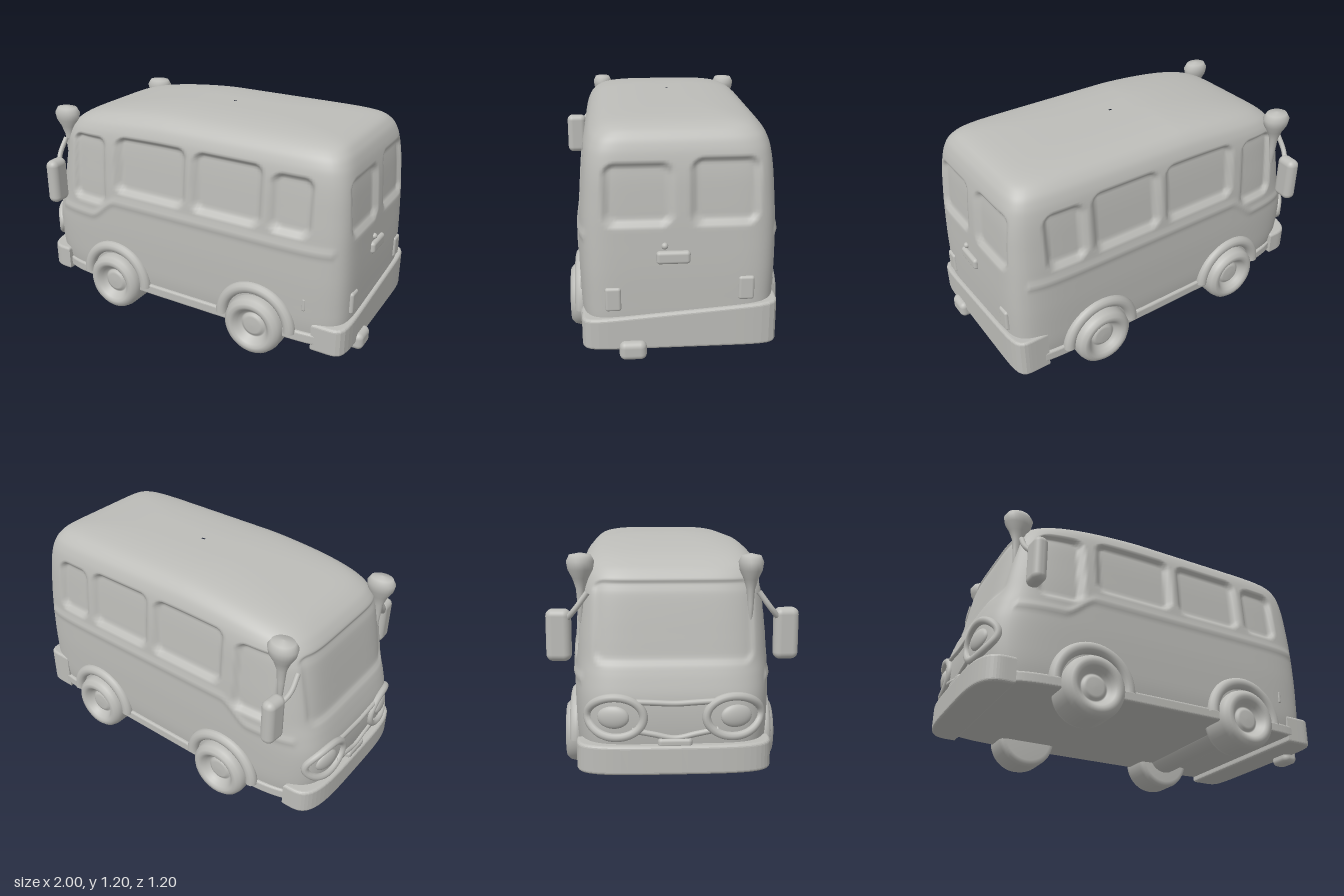
import * as THREE from 'three';
import { RoundedBoxGeometry } from 'three/addons/geometries/RoundedBoxGeometry.js';

const clay = new THREE.MeshStandardMaterial({ color: 0xbcbcb8 });
clay.name = 'warm grey';

// Shell rows from sill to roof: height, nose x, tail x, half width
const ROWS = [
  [0.15, -0.94, 0.93, 0.462], [0.25, -0.96, 0.943, 0.475], [0.36, -0.97, 0.945, 0.48],
  [0.47, -0.966, 0.945, 0.483], [0.56, -0.945, 0.943, 0.483], [0.64, -0.92, 0.94, 0.482],
  [0.74, -0.902, 0.936, 0.478], [0.84, -0.885, 0.93, 0.471], [0.94, -0.866, 0.922, 0.463],
  [1.02, -0.845, 0.91, 0.453], [1.08, -0.82, 0.895, 0.438], [1.13, -0.78, 0.87, 0.41],
  [1.17, -0.7, 0.82, 0.355], [1.19, -0.55, 0.7, 0.26], [1.199, -0.3, 0.45, 0.13],
  [1.2, 0.06, 0.08, 0.005],
];
// Window recesses: [min along, max along, min y, max y]
const SIDE = [[-0.73, -0.5, 0.63, 1.02], [-0.41, 0.03, 0.73, 1.04], [0.09, 0.48, 0.73, 1.04], [0.54, 0.75, 0.73, 1.02]];
const REAR = [[0.04, 0.35, 0.73, 1.01], [-0.36, -0.055, 0.73, 1.03]];
const FRONT = [[-0.37, 0.37, 0.63, 1.03]];

// 1 inside a rounded rectangle, 0 outside, with a soft edge
function recess(list, a, y) {
  let best = 0;
  for (const [a0, a1, y0, y1] of list) {
    const r = 0.05;
    const qa = Math.abs(a - (a0 + a1) / 2) - (a1 - a0) / 2 + r;
    const qy = Math.abs(y - (y0 + y1) / 2) - (y1 - y0) / 2 + r;
    const d = Math.hypot(Math.max(qa, 0), Math.max(qy, 0)) + Math.min(Math.max(qa, qy), 0) - r;
    best = Math.max(best, 1 - THREE.MathUtils.smoothstep(d, -0.018, 0.012));
  }
  return best;
}

// Even walk round a unit square, softened to a rounded plan outline
const outline = [];
function walk(count, fn) {
  for (let i = 0; i < count; i++) {
    const [u, v, face] = fn(-1 + (2 * i) / count);
    const n = u > 0 ? 9 : 6;
    const k = Math.pow(Math.abs(u) ** n + Math.abs(v) ** n, -1 / n);
    outline.push([u * k, v * k, face]);
  }
}
walk(56, t => [1, t, 'rear']);
walk(104, t => [-t, 1, 'side']);
walk(56, t => [-1, -t, 'front']);
walk(104, t => [t, -1, 'side']);

function shellGeometry() {
  const lengths = new THREE.CatmullRomCurve3(ROWS.map(r => new THREE.Vector3(r[0], r[1], r[2])), false, 'catmullrom');
  const widths = new THREE.CatmullRomCurve3(ROWS.map(r => new THREE.Vector3(r[3], 0, 0)), false, 'catmullrom');
  const pos = [], idx = [], rings = 90, N = outline.length;
  for (let i = 0; i <= rings; i++) {
    const p = lengths.getPoint(i / rings), w = widths.getPoint(i / rings).x;
    for (const [u, v, face] of outline) {
      let x = (p.y + p.z) / 2 + (u * (p.z - p.y)) / 2, y = p.x, z = v * w;
      if (face === 'side') {
        // recessed glass and a raised belt line that dips towards the nose
        const belt = 0.66 - 0.11 * THREE.MathUtils.smoothstep(-x, 0.42, 0.6);
        const ridge = 0.008 * Math.exp(-(((y - belt) / 0.02) ** 2));
        z += Math.sign(v) * (ridge - 0.03 * recess(SIDE, x, y));
      } else if (face === 'rear') x -= 0.025 * recess(REAR, z, y);
      else x += 0.014 * recess(FRONT, z, y);
      // roof slopes down to the front
      if (y > 0.95) {
        const drop = 0.08 * Math.pow(Math.max(0, (-0.1 - x) / 0.7), 1.5);
        y = 0.95 + (y - 0.95) * (1 - drop / 0.25);
      }
      pos.push(x, y, z);
    }
  }
  for (let i = 0; i < rings; i++) for (let j = 0; j < N; j++) {
    const a = i * N + j, b = i * N + ((j + 1) % N);
    idx.push(a, a + N, b, b, a + N, b + N);
  }
  const g = new THREE.BufferGeometry();
  g.setAttribute('position', new THREE.Float32BufferAttribute(pos, 3));
  g.setIndex(idx);
  g.computeVertexNormals();
  return g;
}

// Plan outline (x, z) raised into a slab between two heights
function slab(points, y0, y1, bevel) {
  const g = new THREE.ExtrudeGeometry(new THREE.Shape(points.map(p => new THREE.Vector2(p[0], p[1]))), {
    depth: y1 - y0 - 2 * bevel, bevelEnabled: true, bevelSize: bevel, bevelThickness: bevel, bevelSegments: 4,
  });
  return g.rotateX(Math.PI / 2).translate(0, y1 - bevel, 0);
}

// Bumper plan: flat across the car, rounded round the corners
function bumperPlan(x0, reach, w, n) {
  const pts = [];
  for (let i = 0; i <= 48; i++) {
    const a = -Math.PI / 2 + (Math.PI * i) / 48, c = Math.abs(Math.cos(a)), s = Math.sin(a);
    const k = Math.pow(c ** n + Math.abs(s) ** n, -1 / n);
    pts.push([x0 + reach * c * k, w * s * k]);
  }
  return pts;
}

// Nose surface near headlight height
const noseX = z => -0.012 - 0.957 * Math.pow(1 - Math.min(1, Math.abs(z) / 0.481) ** 6, 1 / 6);
const lathe = (pts, n = 40) => new THREE.LatheGeometry(pts.map(p => new THREE.Vector2(p[0], p[1])), n);
const tube = (pts, r, closed = false) =>
  new THREE.TubeGeometry(new THREE.CatmullRomCurve3(pts, closed), 64, r, 10, closed);

export function createModel() {
  const bus = new THREE.Group();
  bus.name = 'bus';
  const add = (name, geometry, x = 0, y = 0, z = 0) => {
    const m = new THREE.Mesh(geometry, clay);
    m.name = name;
    m.position.set(x, y, z);
    bus.add(m);
    return m;
  };

  add('bodyShell', shellGeometry());
  add('floorAndSill', slab(outline.map(([u, v]) => [u * 0.935, v * 0.474]), 0.14, 0.2, 0.012));

  // Bumpers; the rear one is taller on its right side
  add('frontBumper', slab(bumperPlan(-0.835, -0.15, 0.445, 4), 0.12, 0.26, 0.015));
  const rear = slab(bumperPlan(0.8, 0.15, 0.455, 9), 0.105, 0.295, 0.015);
  const rp = rear.attributes.position;
  for (let i = 0; i < rp.count; i++) if (rp.getY(i) > 0.2) rp.setY(i, rp.getY(i) - rp.getZ(i) * 0.075);
  rear.computeVertexNormals();
  add('rearBumper', rear);

  // Wheels with dished hubs, and arches above them
  const tyre = [[0, -0.105], [0.135, -0.105], [0.157, -0.095], [0.165, -0.07], [0.165, 0.055], [0.157, 0.085],
    [0.138, 0.103], [0.118, 0.105], [0.102, 0.095], [0.088, 0.075], [0.074, 0.058], [0.066, 0.057], [0.058, 0.068], [0.045, 0.072], [0, 0.073]];
  for (const s of [1, -1]) {
    for (const [end, x] of [['front', -0.437], ['rear', 0.47]]) {
      add(end + 'Wheel', lathe(tyre, 48).rotateX((s * Math.PI) / 2), x, 0.17, s * 0.435);
      add(end + 'WheelArch', new THREE.TorusGeometry(0.2, 0.032, 12, 40, Math.PI), x, 0.18, s * 0.48);
    }
  }
  add('rearAxle', new THREE.CylinderGeometry(0.1, 0.1, 0.72, 32).rotateX(Math.PI / 2), 0.47, 0.19, 0);

  // Mirrors hang from tapered bulb arms at the roof corners
  const arm = [[0, -0.28], [0.014, -0.265], [0.02, -0.18], [0.026, -0.11], [0.045, -0.06], [0.07, -0.02], [0.078, 0.02], [0.06, 0.05], [0, 0.06]];
  for (const s of [1, -1]) {
    const mirror = add('sideMirror', new RoundedBoxGeometry(0.075, 0.25, 0.12, 5, 0.034), -0.782, 0.745, s * 0.54);
    mirror.rotation.y = s * 0.08;
    add('mirrorStalk', tube([
      new THREE.Vector3(-0.82, 0.95, s * 0.4), new THREE.Vector3(-0.82, 0.87, s * 0.46), new THREE.Vector3(-0.785, 0.8, s * 0.52),
    ], 0.014));
  }
  add('leftArm', lathe(arm, 28), -0.83, 1.07, 0.36).scale.z = 0.75;
  add('rightArm', lathe(arm, 28), -0.75, 1.07, -0.435).scale.z = 0.85;

  // Headlights: oval rims hugging the nose, with domed lamps
  for (const s of [1, -1]) {
    const rim = [];
    for (let i = 0; i < 24; i++) {
      const a = (i / 24) * Math.PI * 2, z = s * (0.275 + 0.13 * Math.cos(a));
      rim.push(new THREE.Vector3(noseX(z) - 0.003, 0.39 + 0.095 * Math.sin(a), z));
    }
    add('headlightRim', tube(rim, 0.02, true));
    const lamp = add('headlight', new THREE.SphereGeometry(1, 28, 18), noseX(0.29) + 0.005, 0.39, s * 0.285);
    lamp.scale.set(0.025, 0.055, 0.075);
    lamp.rotation.y = s * 0.2;
  }

  // Grille: upper bar and dipping lower lip, with a small vent below
  const across = (y0, dip) => [-0.2, -0.1, 0, 0.1, 0.2].map(z =>
    new THREE.Vector3(noseX(z), y0 - dip * (1 - Math.abs(z) / 0.2), z));
  add('grilleBar', tube(across(0.465, 0.01), 0.014));
  add('grilleLip', tube(across(0.33, 0.04), 0.014));
  add('noseVent', new RoundedBoxGeometry(0.04, 0.045, 0.16, 4, 0.018), -0.97, 0.27, 0);

  // Tail details
  add('tailHandle', new RoundedBoxGeometry(0.035, 0.064, 0.16, 5, 0.017), 0.945, 0.572, 0.035);
  add('tailLock', new THREE.SphereGeometry(0.016, 16, 12), 0.942, 0.628, 0.075);
  add('tailLampLeft', new RoundedBoxGeometry(0.03, 0.12, 0.076, 4, 0.014), 0.94, 0.365, 0.318);
  add('tailLampRight', new RoundedBoxGeometry(0.03, 0.12, 0.076, 4, 0.014), 0.94, 0.405, -0.312);
  add('exhaust', new RoundedBoxGeometry(0.09, 0.095, 0.13, 5, 0.03), 0.952, 0.108, 0.228);
  add('fuelFlap', new RoundedBoxGeometry(0.02, 0.07, 0.02, 3, 0.008), 0.74, 0.36, 0.467);

  return bus;
}
